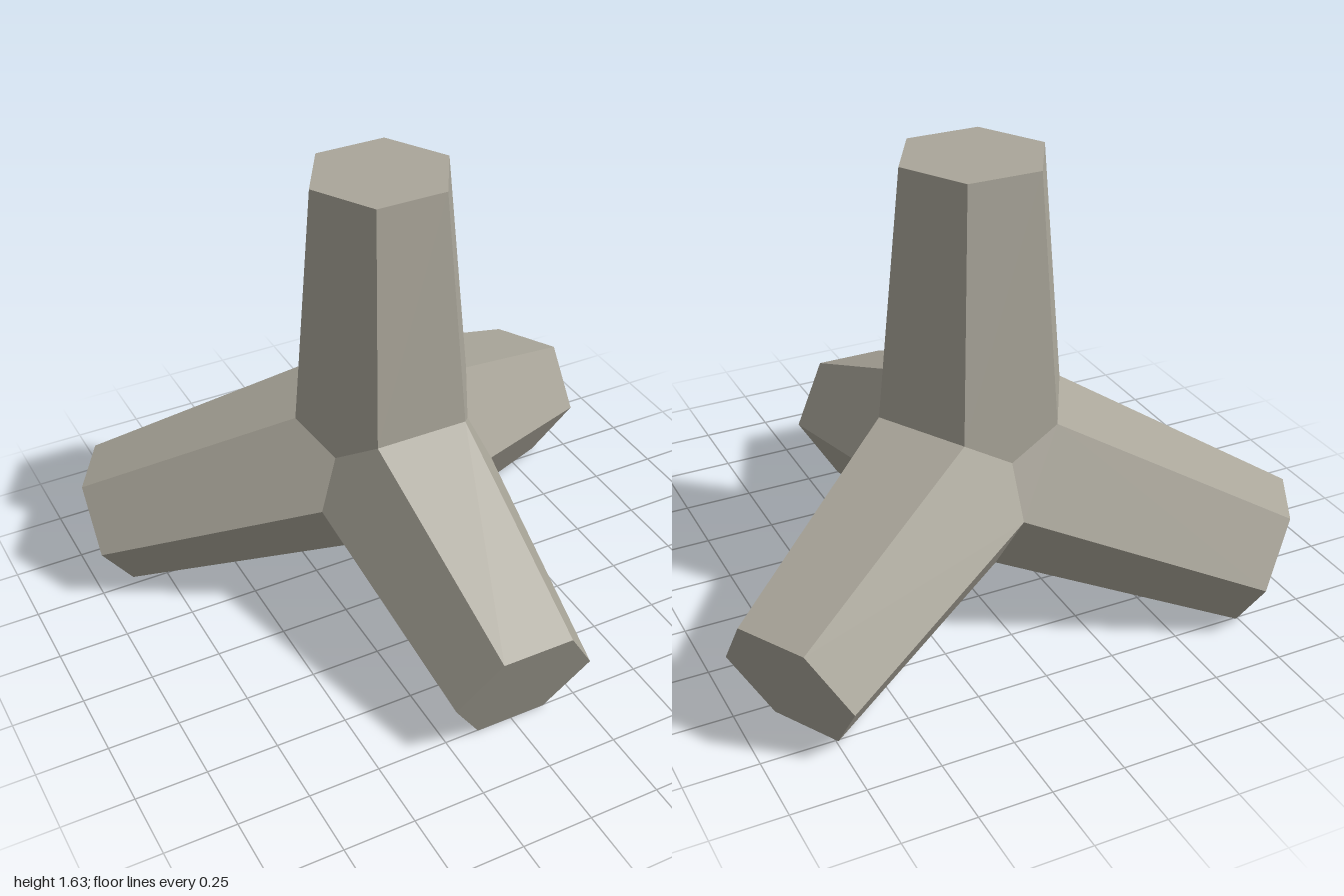
import * as THREE from 'three';

const CENTRE = new THREE.Vector3(0, 0.5644, -0.18); // hub of the four legs
const ROOT_R = 0.338, TIP_R = 0.2555;               // hexagon radii
const ROOT_D = ROOT_R * Math.sqrt(6) / 4;           // root hexagons share edges pairwise
const TIP_D = 1.067;
const COS30 = Math.sqrt(3) / 2;

const ringPoint = (deg, r, y) => {
  const a = THREE.MathUtils.degToRad(deg);
  return new THREE.Vector3(Math.sin(a) * r, y, Math.cos(a) * r);
};

// One tapered six-sided leg along +y, with three sides running down into the crotches
function legGeometry() {
  const ring = (r, y) => Array.from({ length: 6 }, (_, i) => ringPoint(30 + 60 * i, r, y));
  const root = ring(ROOT_R, ROOT_D), tip = ring(TIP_R, TIP_D);
  const cap = new THREE.Vector3(0, TIP_D, 0);

  // Crotch point where the side planes of three neighbouring legs meet
  const taper = (ROOT_R - TIP_R) * COS30 / (TIP_D - ROOT_D);
  const t = (ROOT_R * COS30 + taper * ROOT_D) / (Math.sqrt(8) / 3 + taper / 3);

  const points = [];
  for (let i = 0; i < 6; i++) {
    const j = (i + 1) % 6;
    points.push(root[i], root[j], tip[j], root[i], tip[j], tip[i]); // side
    points.push(cap, tip[i], tip[j]); // flat end
    if (i % 2 === 0) {
      const crotch = ringPoint(60 + 60 * i, t * Math.sqrt(8) / 3, t / 3);
      points.push(crotch, root[j], root[i]);
    }
  }
  const geometry = new THREE.BufferGeometry().setFromPoints(points);
  geometry.computeVertexNormals();
  return geometry;
}

export function createModel() {
  const model = new THREE.Group();
  model.name = 'tetrapod';
  const concrete = new THREE.MeshStandardMaterial({ color: 0xaaa69a });
  concrete.name = 'concrete';
  const geometry = legGeometry();

  const addLeg = (name) => {
    const leg = new THREE.Mesh(geometry, concrete);
    leg.name = name;
    leg.position.copy(CENTRE);
    model.add(leg);
    return leg;
  };

  addLeg('upperLeg');
  // Three standing legs, splayed at the tetrahedral angle
  ['frontLeg', 'backLeftLeg', 'backRightLeg'].forEach((name, k) => {
    const leg = addLeg(name);
    leg.rotateY(k * Math.PI * 2 / 3);
    leg.rotateX(Math.acos(-1 / 3));
    leg.rotateY(Math.PI);
  });
  return model;
}
